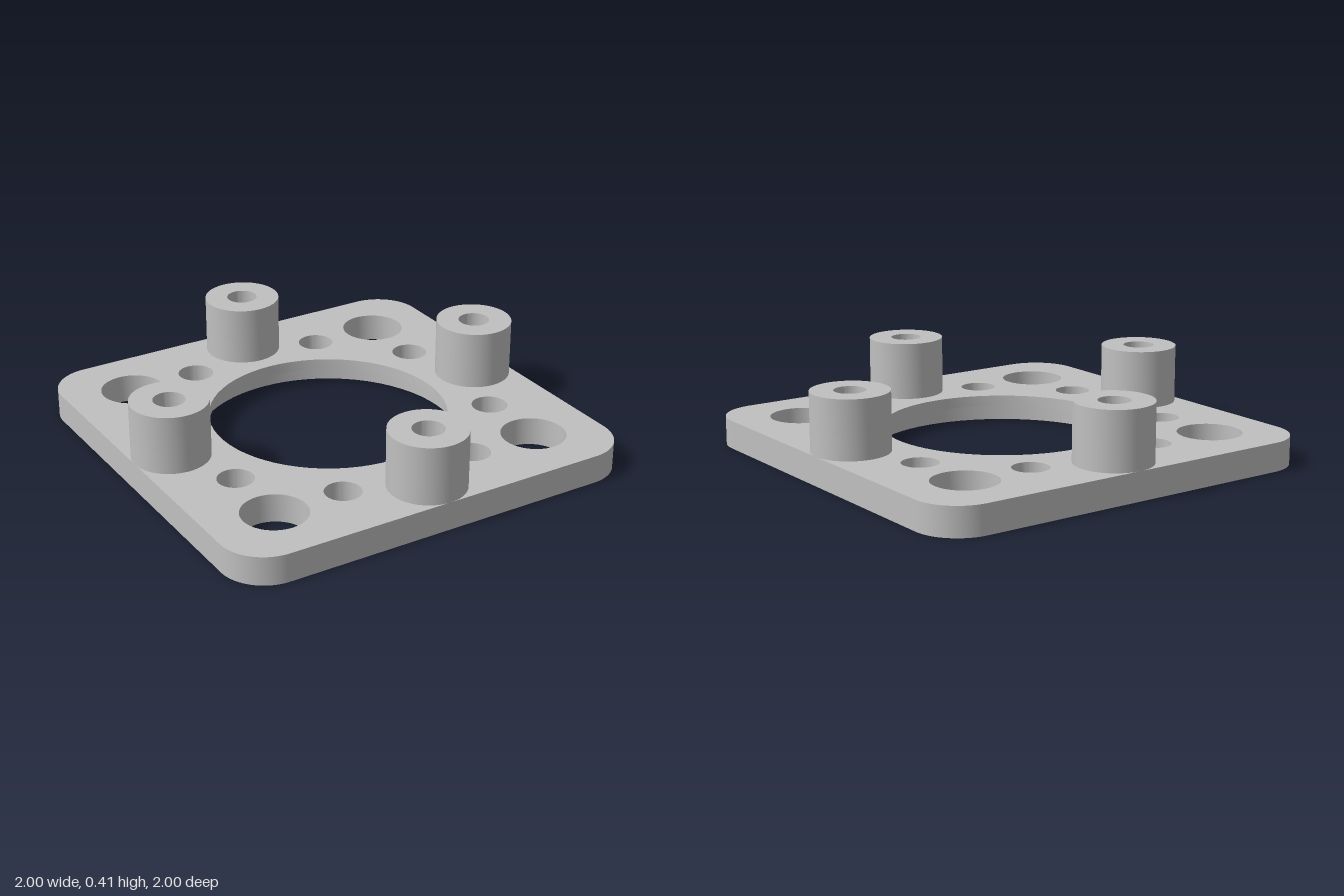
import * as THREE from 'three';
import { toCreasedNormals } from 'three/addons/utils/BufferGeometryUtils.js';

const PLATE_H = 0.135, TOP = 0.41, BORE = 0.557, RECESS = 0.618, BOLT = 0.073, BOSS_AT = 0.82;

export function createModel() {
  const group = new THREE.Group();
  const grey = new THREE.MeshStandardMaterial({ color: 0xc0c0c0 });
  grey.name = 'plain grey';

  const add = (name, geometry, x = 0, z = 0) => {
    const mesh = new THREE.Mesh(toCreasedNormals(geometry, 0.6), grey);
    mesh.name = name;
    mesh.position.set(x, 0, z);
    group.add(mesh);
  };
  const lathe = (points) =>
    new THREE.LatheGeometry(points.map(([r, y]) => new THREE.Vector2(r, y)), 64);

  // Rounded square outline
  const plate = new THREE.Shape();
  const c = 0.79, r = 0.21;
  plate.absarc(c, c, r, 0, Math.PI / 2);
  plate.absarc(-c, c, r, Math.PI / 2, Math.PI);
  plate.absarc(-c, -c, r, Math.PI, Math.PI * 1.5);
  plate.absarc(c, -c, r, Math.PI * 1.5, Math.PI * 2);
  plate.closePath();

  const hole = (x, y, radius) =>
    plate.holes.push(new THREE.Path().absarc(x, y, radius, 0, Math.PI * 2, true));

  // Central opening, corner holes and the pairs of smaller holes beside them
  hole(0, 0, RECESS);
  for (const sx of [-1, 1]) {
    for (const sy of [-1, 1]) {
      hole(sx * 0.68, sy * 0.68, 0.15);
      hole(sx * 0.34, sy * 0.68, 0.084);
      hole(sx * 0.68, sy * 0.34, 0.084);
    }
  }

  // Four bored standoffs, one at the middle of each side
  const sides = [[1, 0, 'left'], [-1, 0, 'right'], [0, 1, 'front'], [0, -1, 'back']];
  for (const [x, z, side] of sides) {
    hole(x * BOSS_AT, z * BOSS_AT, BOLT);
    add(side + 'Standoff', lathe([
      [0.18, PLATE_H], [0.18, TOP], [0.18, TOP], [BOLT, TOP], [BOLT, TOP], [BOLT, PLATE_H],
    ].filter((p, i) => i !== 2 && i !== 4)), x * BOSS_AT, z * BOSS_AT);
  }

  // Base plate
  const plateGeometry = new THREE.ExtrudeGeometry(plate, {
    depth: PLATE_H, bevelEnabled: false, curveSegments: 32,
  });
  plateGeometry.rotateX(-Math.PI / 2);
  add('basePlate', plateGeometry);

  // Lip that narrows the opening at the top, leaving a recess below
  add('openingLip', lathe([
    [RECESS, PLATE_H], [BORE, PLATE_H], [BORE, 0.083], [RECESS, 0.083],
  ]));

  return group;
}
